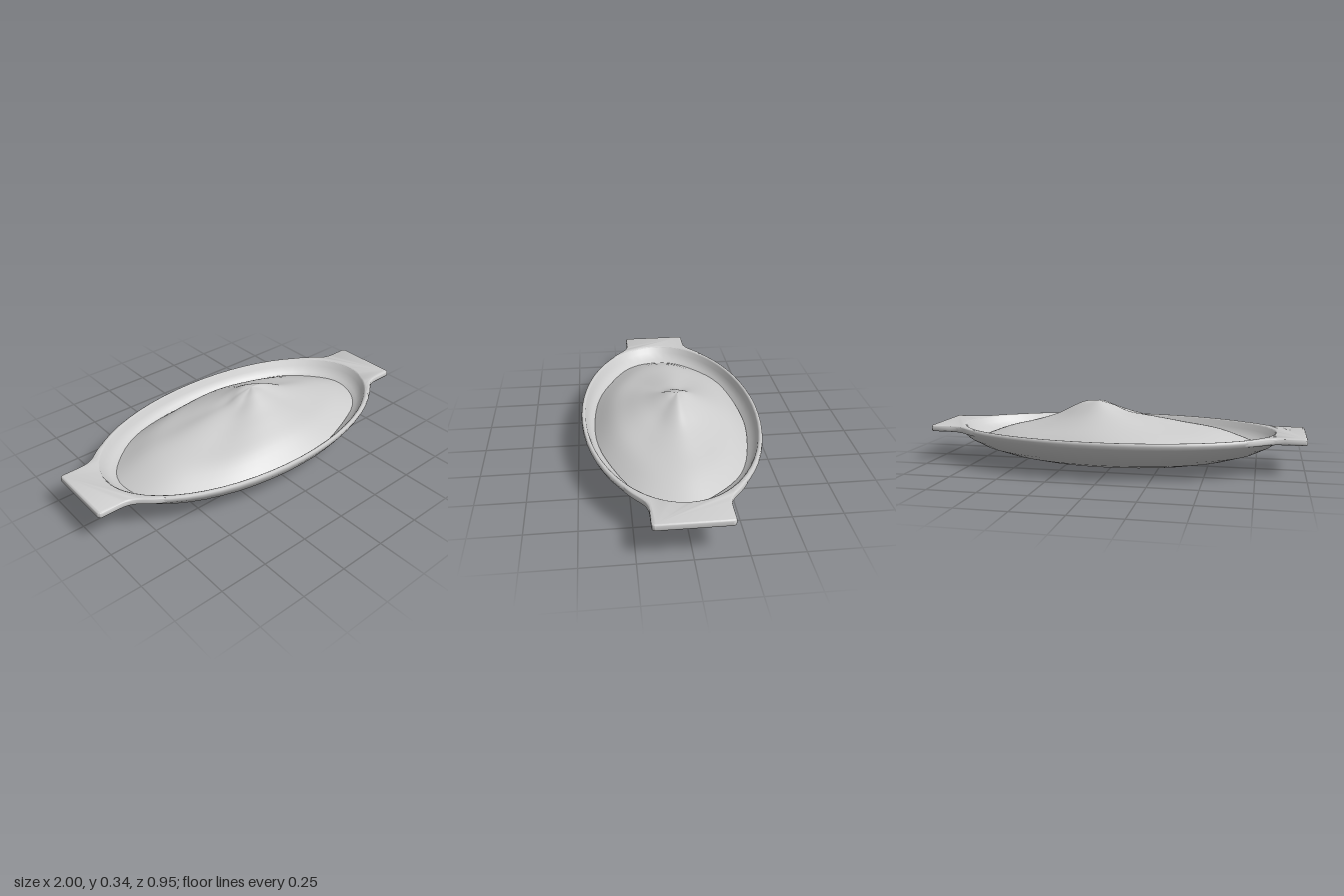
import * as THREE from 'three';
import { toCreasedNormals } from 'three/addons/utils/BufferGeometryUtils.js';

const material = new THREE.MeshStandardMaterial({ color: 0xcccccc, side: THREE.DoubleSide });
const STRETCH = 0.885 / 0.475; // oval length to width

function part(name, geometry) {
  const mesh = new THREE.Mesh(geometry, material);
  mesh.name = name;
  return mesh;
}

// Oval dish: outside, rolled rim and inside in one stretched lathe
function dishGeometry() {
  const profile = [
    [0, 0.005], [0.09, 0.01], [0.18, 0.018], [0.27, 0.037], [0.335, 0.06], [0.4, 0.095],
    [0.445, 0.135], [0.468, 0.17], [0.475, 0.188], [0.473, 0.2], [0.467, 0.204],
    [0.46, 0.204], [0.453, 0.198], [0.445, 0.17], [0.426, 0.138], [0.385, 0.107],
    [0.32, 0.075], [0.18, 0.035], [0, 0.025],
  ].map(([x, y]) => new THREE.Vector2(x, y));
  return new THREE.LatheGeometry(profile, 56).scale(STRETCH, 1, 1);
}

// Flat handle flaring out of the rim, with an inner edge following the oval
function handleGeometry() {
  const shape = new THREE.Shape();
  shape.moveTo(0.7, -0.287);
  shape.bezierCurveTo(0.8, -0.235, 0.8, -0.185, 0.89, -0.183);
  shape.lineTo(0.98, -0.183);
  shape.quadraticCurveTo(1, -0.183, 1, -0.163);
  shape.lineTo(1, 0.163);
  shape.quadraticCurveTo(1, 0.183, 0.98, 0.183);
  shape.lineTo(0.89, 0.183);
  shape.bezierCurveTo(0.8, 0.185, 0.8, 0.235, 0.7, 0.287);
  const end = Math.acos(0.7 / 0.845);
  shape.absellipse(0, 0, 0.845, 0.455, end, -end, true);
  const bevel = 0.011;
  const geometry = new THREE.ExtrudeGeometry(shape, {
    depth: 0.035 - 2 * bevel, bevelSize: bevel, bevelThickness: bevel,
    bevelOffset: -bevel, bevelSegments: 4, curveSegments: 14,
  });
  geometry.rotateX(Math.PI / 2).translate(0, 0.205 - bevel, 0);
  return toCreasedNormals(geometry, 0.7);
}

// Heaped filling: four slope profiles blended around an off-centre peak
function fillingGeometry() {
  const stops = [0, 0.1, 0.2, 0.35, 0.55, 0.78, 1];
  const slopes = [
    [0.35, 0.344, 0.317, 0.267, 0.225, 0.185, 0.128], // +x
    [0.35, 0.343, 0.325, 0.295, 0.258, 0.208, 0.128], // +z
    [0.35, 0.325, 0.288, 0.268, 0.238, 0.2, 0.128],   // -x
    [0.35, 0.345, 0.325, 0.29, 0.25, 0.2, 0.128],     // -z
  ].map(ys => new THREE.SplineCurve(ys.map((y, i) => new THREE.Vector2(stops[i], y))));
  const peak = { x: 0.09, z: -0.03 };
  const rings = 24, sides = 64, positions = [], index = [];

  for (let i = 0; i <= rings; i++) {
    for (let j = 0; j < sides; j++) {
      const angle = (j / sides) * Math.PI * 2;
      const wobble = 1 + 0.008 * Math.sin(5 * angle) + 0.006 * Math.cos(9 * angle + 1);
      const edgeX = 0.765 * Math.cos(angle) * wobble;
      const edgeZ = 0.405 * Math.sin(angle) * wobble;
      const quarter = Math.floor(angle / (Math.PI / 2)) % 4;
      const blend = Math.sin(angle - quarter * Math.PI / 2) ** 2;
      const a = slopes[quarter].getPoint(i / rings);
      const b = slopes[(quarter + 1) % 4].getPoint(i / rings);
      const t = THREE.MathUtils.lerp(a.x, b.x, blend);
      // Soft valleys between the ridges
      const valley = 0.07 * t * (1 - t) * Math.sin(2 * angle) ** 2;
      positions.push(
        THREE.MathUtils.lerp(peak.x, edgeX, t),
        THREE.MathUtils.lerp(a.y, b.y, blend) - valley,
        THREE.MathUtils.lerp(peak.z, edgeZ, t));
      if (i < rings) {
        const p = i * sides + j, q = i * sides + (j + 1) % sides;
        if (i > 0) index.push(p, q, p + sides);
        index.push(q, q + sides, p + sides);
      }
    }
  }
  const geometry = new THREE.BufferGeometry();
  geometry.setAttribute('position', new THREE.Float32BufferAttribute(positions, 3));
  geometry.setIndex(index);
  geometry.computeVertexNormals();
  // The coincident peak points share one upward normal
  for (let j = 0; j < sides; j++) geometry.attributes.normal.setXYZ(j, 0, 1, 0);
  return geometry;
}

export function createModel() {
  const model = new THREE.Group();
  model.name = 'filledOvalDish';
  model.add(part('dish', dishGeometry()));
  model.add(part('filling', fillingGeometry()));
  const leftHandle = part('leftHandle', handleGeometry());
  const rightHandle = part('rightHandle', leftHandle.geometry);
  rightHandle.rotation.y = Math.PI;
  model.add(leftHandle, rightHandle);
  return model;
}
